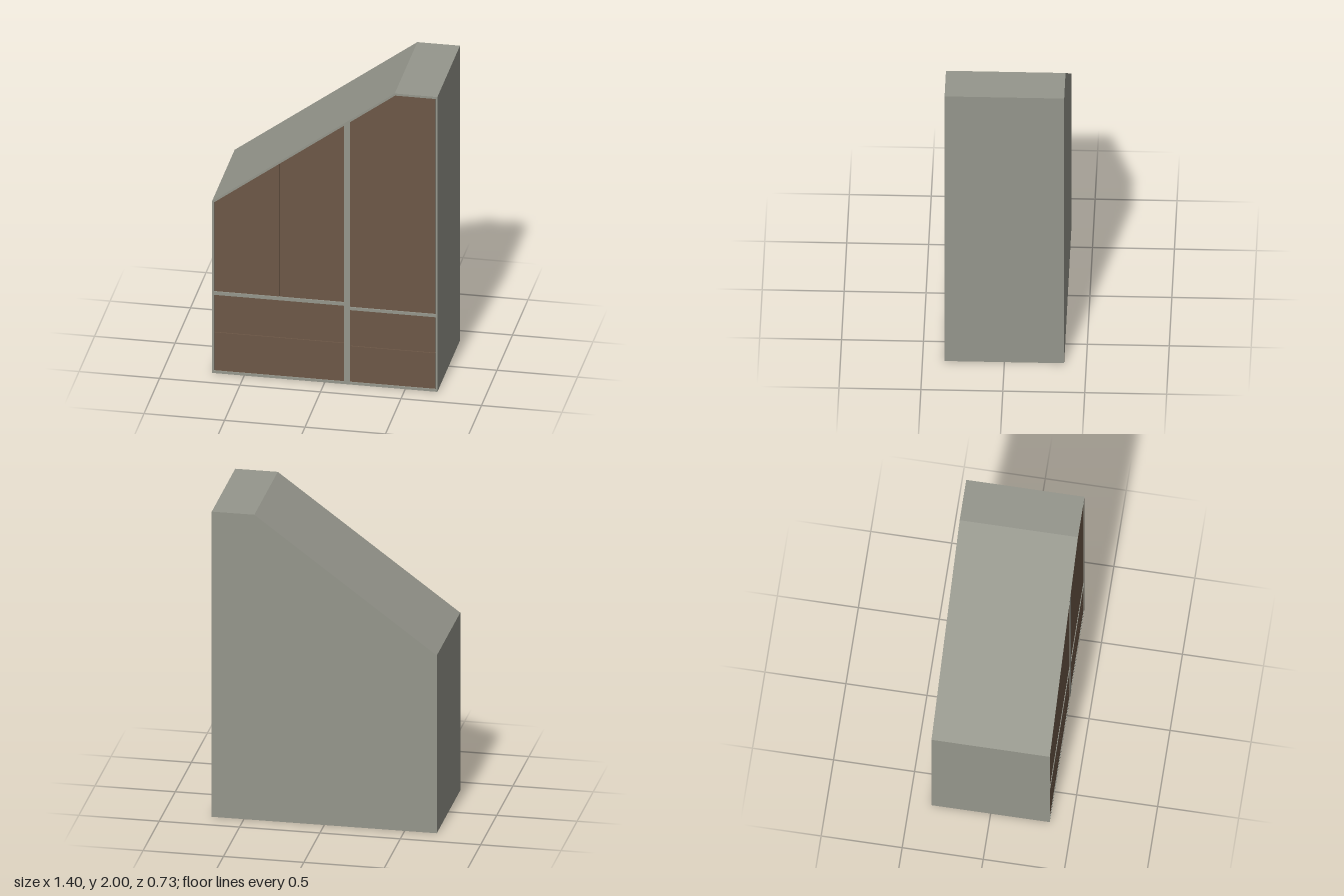
import * as THREE from 'three';

const FRONT = 0.365, BACK = -0.365, BACK_THICK = 0.02;
const SLOPE = 0.7357;
const slopeY = (x) => 1.149 + (x + 0.7) * SLOPE; // underside of the sloping top

export function createModel() {
  const wardrobe = new THREE.Group();
  wardrobe.name = 'wardrobe';
  const grey = new THREE.MeshStandardMaterial({ color: 0x95968c });
  grey.name = 'grey carcass';
  const brown = new THREE.MeshStandardMaterial({ color: 0x6d5847 });
  brown.name = 'brown fronts';

  const vectors = (points) => points.map(([x, y]) => new THREE.Vector2(x, y));

  // Extrude an outline between two depths
  const addPanel = (name, points, z0, z1, material, holes = []) => {
    const shape = new THREE.Shape(vectors(points));
    shape.holes = holes.map((h) => new THREE.Path(vectors(h)));
    const geometry = new THREE.ExtrudeGeometry(shape, { depth: z1 - z0, bevelEnabled: false });
    geometry.translate(0, 0, z0);
    const mesh = new THREE.Mesh(geometry, material);
    mesh.name = name;
    wardrobe.add(mesh);
  };

  const rect = (x0, x1, y0, y1) => [[x0, y0], [x1, y0], [x1, y1], [x0, y1]];
  const underSlope = (x0, x1, y0, gap) =>
    [[x0, y0], [x1, y0], [x1, slopeY(x1) - gap], [x0, slopeY(x0) - gap]];
  const tall = (x0, x1, y0, top, gap) => {
    const knee = (top + gap - 1.149) / SLOPE - 0.7;
    return [[x0, y0], [x1, y0], [x1, top], [knee, top], [x0, slopeY(x0) - gap]];
  };

  // Carcass: sloped outer case with divider and rails, plus back board
  const outline = [[-0.7, 0], [0.7, 0], [0.7, 2], [0.435, 2], [-0.7, 1.165]];
  const openings = [
    rect(-0.688, 0.121, 0.016, 0.531),
    underSlope(-0.688, 0.121, 0.553, 0),
    rect(0.156, 0.688, 0.016, 0.505),
    tall(0.156, 0.688, 0.524, 1.986, 0),
  ];
  addPanel('carcass', outline, BACK + BACK_THICK, FRONT, grey, openings);
  addPanel('backBoard', outline, BACK, BACK + BACK_THICK, grey);

  // Doors and drawer fronts, set just behind the frame with fine gaps
  const g = 0.002, z1 = FRONT - 0.004, z0 = z1 - 0.016;
  const fronts = {
    outerDoor: underSlope(-0.688 + g, -0.282 - g, 0.553 + g, g),
    middleDoor: underSlope(-0.282 + g, 0.121 - g, 0.553 + g, g),
    tallDoor: tall(0.156 + g, 0.688 - g, 0.524 + g, 1.986 - g, g),
    wideLowerDrawer: rect(-0.688 + g, 0.121 - g, 0.016 + g, 0.277 - g),
    wideUpperDrawer: rect(-0.688 + g, 0.121 - g, 0.277 + g, 0.531 - g),
    narrowLowerDrawer: rect(0.156 + g, 0.688 - g, 0.016 + g, 0.261 - g),
    narrowUpperDrawer: rect(0.156 + g, 0.688 - g, 0.261 + g, 0.505 - g),
  };
  for (const [name, points] of Object.entries(fronts)) addPanel(name, points, z0, z1, brown);

  return wardrobe;
}
